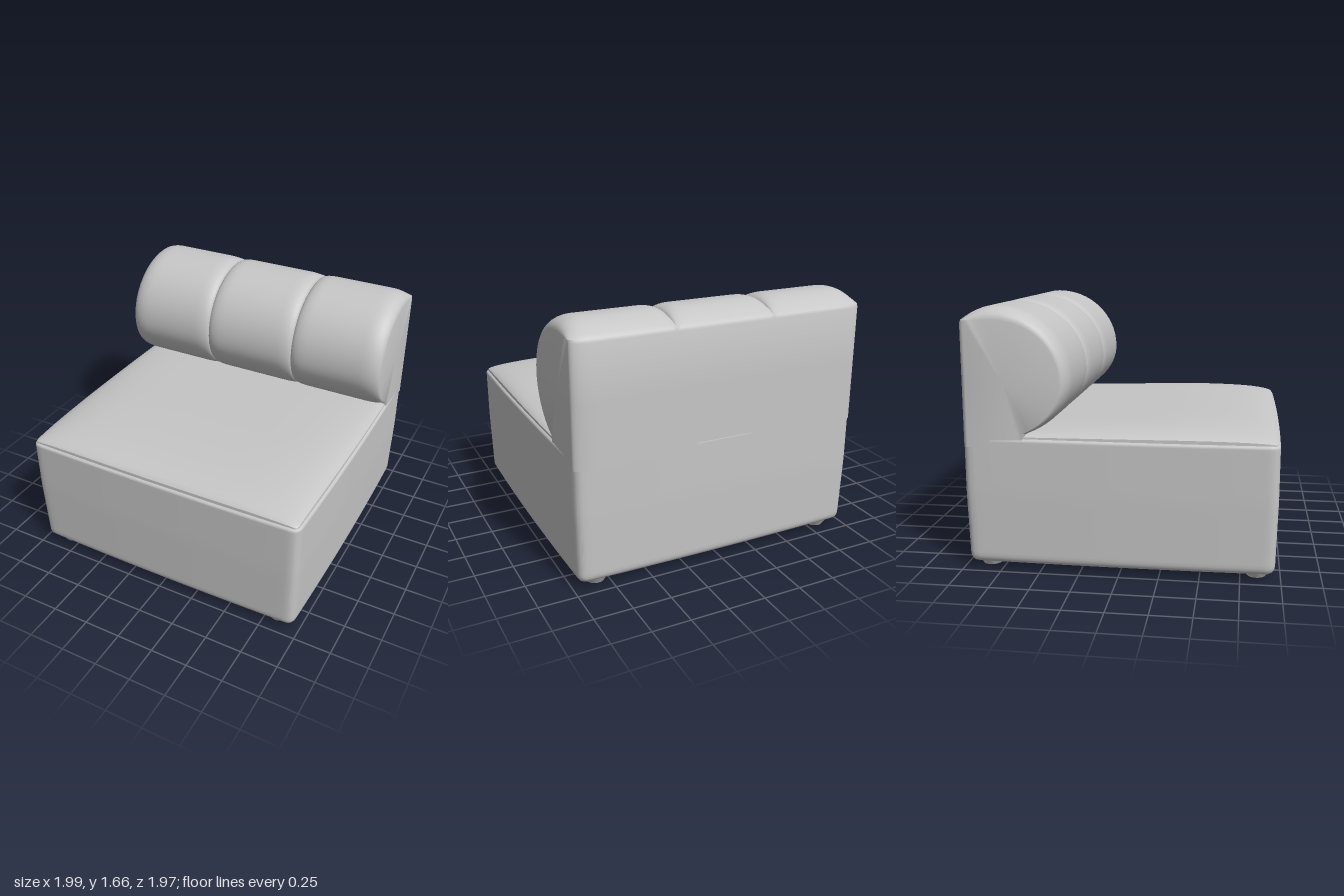
import * as THREE from 'three';
import { mergeVertices, toCreasedNormals } from 'three/addons/utils/BufferGeometryUtils.js';

const { lerp, clamp } = THREE.MathUtils;

// Rounded upholstered block with softly bowed sides and a crowned seat
function seatBlockGeometry() {
  let geo = new THREE.BoxGeometry(2, 2, 2, 32, 32, 32);
  geo.deleteAttribute('uv');
  geo.deleteAttribute('normal');
  geo = mergeVertices(geo);
  const half = new THREE.Vector3(0.98, 0.435, 0.972), r = 0.055;
  const inner = half.clone().subScalar(r);
  const pos = geo.attributes.position;
  const p = new THREE.Vector3(), c = new THREE.Vector3();
  const ease = t => Math.sin(t * Math.PI / 2); // crowds vertices towards the edges
  for (let i = 0; i < pos.count; i++) {
    p.fromBufferAttribute(pos, i);
    const onTop = p.y > 0.999;
    p.set(ease(p.x), ease(p.y), ease(p.z)).multiply(half);
    c.copy(p).clamp(inner.clone().negate(), inner);
    p.sub(c).setLength(r).add(c);
    const u = clamp(p.x / half.x, -1, 1), w = clamp(p.z / half.z, -1, 1);
    let y = p.y + 0.475;
    if (y > 0.835) y = 0.835 + (y - 0.835) * 0.4; // tight top edge
    if (onTop) {
      const fx = Math.pow(1 - Math.pow(Math.abs(u), 6), 0.6);
      const fz = Math.pow(1 - Math.pow(Math.abs(w), 6), 0.6);
      y += 0.085 * fx * fz * (1 - 0.5 * Math.max(0, 0.35 - w));
    }
    const taper = 1 - 0.012 * Math.max(0, 1 - y / 0.5);
    pos.setXYZ(i, p.x * taper * (1 + 0.016 * (1 - w * w)), y, p.z * taper * (1 + 0.014 * (1 - u * u)));
  }
  return toCreasedNormals(geo, 0.7);
}

// Side outline of the backrest: d = 0 is fully padded, d = 1 the end panel
function backProfile(d, backZ) {
  const pts = [[-0.6, 0.8]];
  const rz = lerp(0.46, 0.405, d), up = lerp(0.445, 0.365, d), down = lerp(0.37, 0.36, d);
  for (let i = 0; i <= 28; i++) {
    const a = lerp(-65, 90, i / 28) * Math.PI / 180;
    pts.push([-0.76 + rz * Math.cos(a), 1.22 + Math.sin(a) * (a > 0 ? up : down)]);
  }
  for (let i = 1; i <= 8; i++) {
    const t = i / 8;
    pts.push([lerp(-0.76, backZ + 0.008, t), 1.22 + up - lerp(0.085, 0.005, d) * t * t]);
  }
  pts.push([backZ, 1.56], [backZ, 1.2], [backZ, 0.8]);
  return pts;
}

// Three padded rolls lofted along x, pinched at the seams
function backrestGeometry() {
  const seams = [-0.985, -0.33, 0.33, 0.985], steps = 24;
  const pinch = (s, r) => s < r ? 1 - Math.sqrt(1 - (1 - s / r) ** 2) : 0;
  const verts = [], index = [];
  let rows = 0, m = 0;
  for (let k = 0; k < 3; k++) {
    for (let i = k ? 1 : 0; i <= steps; i++) {
      const x = lerp(seams[k], seams[k + 1], (1 - Math.cos(Math.PI * i / steps)) / 2);
      const end = pinch(0.985 - Math.abs(x), 0.13);
      const seam = 0.55 * pinch(Math.abs(Math.abs(x) - 0.33), 0.1);
      const profile = backProfile(Math.max(end, seam), -0.985 + 0.05 * end);
      m = profile.length;
      profile.forEach(([z, y]) => verts.push(x, y, z));
      rows++;
    }
  }
  for (let i = 0; i < rows - 1; i++) {
    for (let j = 0; j < m; j++) {
      const a = i * m + j, d = i * m + (j + 1) % m;
      index.push(a, a + m, d + m, a, d + m, d);
    }
  }
  // flat end panels
  const left = verts.length / 3, last = (rows - 1) * m;
  verts.push(-0.985, 1.2, -0.7, 0.985, 1.2, -0.7);
  for (let j = 0; j < m; j++) {
    const n = (j + 1) % m;
    index.push(left, j, n, left + 1, last + n, last + j);
  }
  const geo = new THREE.BufferGeometry();
  geo.setAttribute('position', new THREE.Float32BufferAttribute(verts, 3));
  geo.setIndex(index);
  return toCreasedNormals(geo, 0.7);
}

export function createModel() {
  const group = new THREE.Group();
  group.name = 'armlessSofaSection';
  const fabric = new THREE.MeshStandardMaterial({ color: 0xc6c6c6 });
  fabric.name = 'light grey fabric';

  const add = (name, geometry, x = 0, y = 0, z = 0) => {
    const mesh = new THREE.Mesh(geometry, fabric);
    mesh.name = name;
    mesh.position.set(x, y, z);
    group.add(mesh);
  };

  add('seatBlock', seatBlockGeometry());
  add('backrest', backrestGeometry());

  // Shallow round swelling under the base
  add('undersidePad', new THREE.CylinderGeometry(0.54, 0.42, 0.03, 40), 0, 0.031, 0);

  // Low feet at the four corners
  const foot = new THREE.CylinderGeometry(0.09, 0.06, 0.05, 20);
  for (const x of [-0.83, 0.83]) {
    for (const z of [-0.85, 0.85]) add('foot', foot, x, 0.025, z);
  }
  return group;
}
